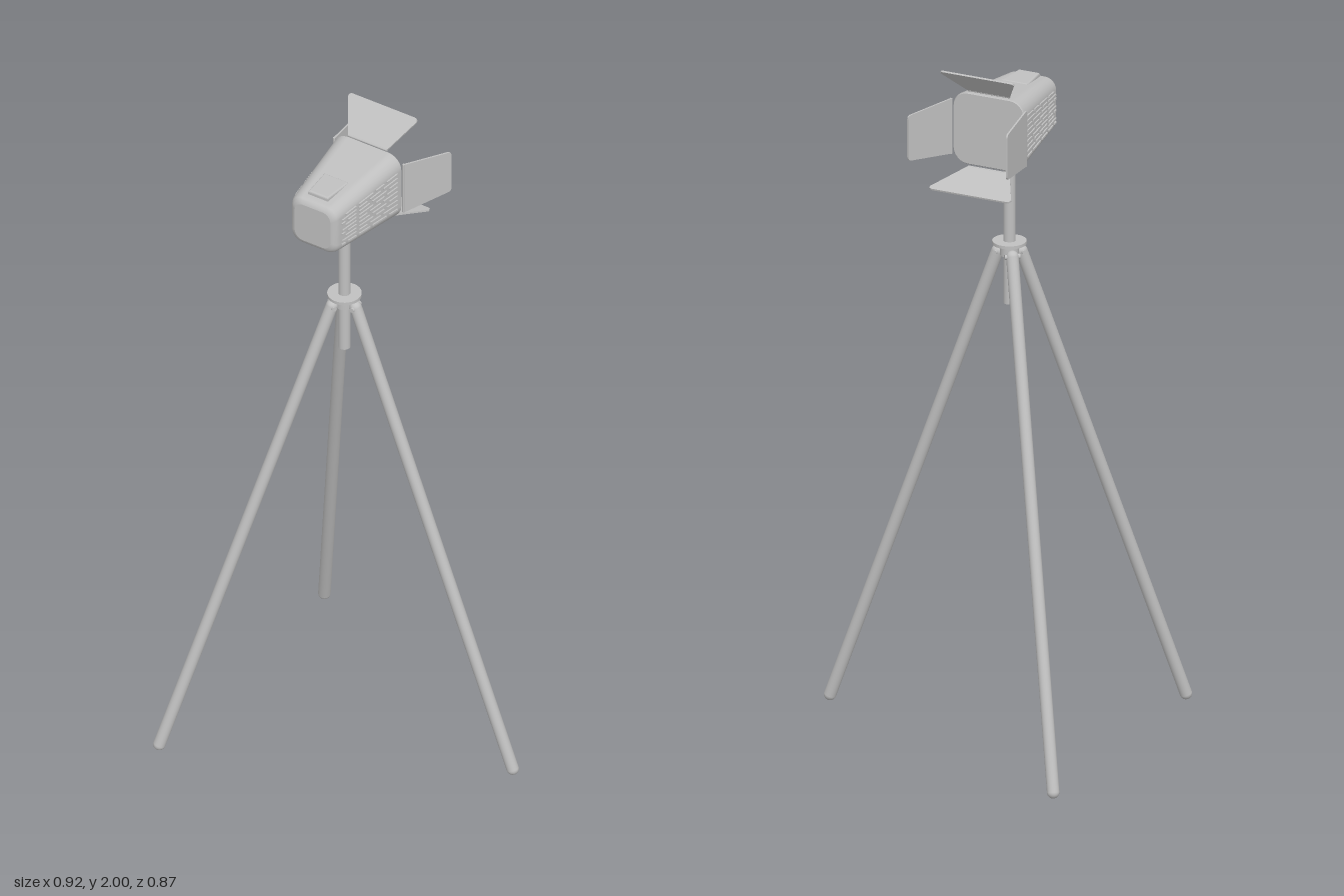
import * as THREE from 'three';

const grey = new THREE.MeshStandardMaterial({ color: 0xc0c0c0 });
const AX = -0.103;             // column axis
const CX = -0.086, CY = 1.808; // lamp housing centre
const V = (x, y, z) => new THREE.Vector3(x, y, z);

function add(parent, name, geometry) {
  const mesh = new THREE.Mesh(geometry, grey);
  mesh.name = name;
  parent.add(mesh);
  return mesh;
}

// Round bar between two points
function bar(parent, name, a, b, r, sides = 20) {
  const m = add(parent, name, new THREE.CylinderGeometry(r, r, a.distanceTo(b), sides));
  m.position.copy(a).add(b).multiplyScalar(0.5);
  m.quaternion.setFromUnitVectors(V(0, 1, 0), b.clone().sub(a).normalize());
  return m;
}

// Rounded rectangle outline, counter-clockwise
function roundedRing(cx, cy, z, hw, hh, r, steps = 6) {
  const pts = [];
  [[1, 1], [-1, 1], [-1, -1], [1, -1]].forEach(([sx, sy], q) => {
    for (let i = 0; i <= steps; i++) {
      const a = (q + i / steps) * Math.PI / 2;
      pts.push(V(cx + sx * (hw - r) + r * Math.cos(a), cy + sy * (hh - r) + r * Math.sin(a), z));
    }
  });
  return pts;
}

// Skin through rings ordered along +z, with flat ends
function loft(rings) {
  const n = rings[0].length, pos = [], idx = [];
  const put = p => pos.push(p.x, p.y, p.z);
  rings.forEach(ring => ring.forEach(put));
  for (let k = 0; k < rings.length - 1; k++) {
    for (let i = 0; i < n; i++) {
      const j = (i + 1) % n, a = k * n, b = a + n;
      idx.push(a + i, a + j, b + i, a + j, b + j, b + i);
    }
  }
  [rings[0], rings[rings.length - 1]].forEach((ring, end) => {
    const s = pos.length / 3;
    ring.forEach(put);
    for (let i = 1; i < n - 1; i++) idx.push(s, s + (end ? i : i + 1), s + (end ? i + 1 : i));
  });
  const g = new THREE.BufferGeometry();
  g.setAttribute('position', new THREE.Float32BufferAttribute(pos, 3));
  g.setIndex(idx);
  g.computeVertexNormals();
  return g;
}

// Tapered flap from hinge midpoint to tip midpoint; "across" is its width direction
function flap(parent, name, hinge, tip, across, w0, w1) {
  const L = hinge.distanceTo(tip), c = 0.012, t = 0.005;
  const s = new THREE.Shape();
  s.moveTo(-w0 / 2, 0);
  s.lineTo(w0 / 2, 0);
  s.lineTo(w1 / 2, L - c);
  s.quadraticCurveTo(w1 / 2, L, w1 / 2 - c, L);
  s.lineTo(-w1 / 2 + c, L);
  s.quadraticCurveTo(-w1 / 2, L, -w1 / 2, L - c);
  s.closePath();
  const g = new THREE.ExtrudeGeometry(s, { depth: t, bevelEnabled: false, curveSegments: 5 });
  g.translate(0, 0, -t / 2);
  const y = tip.clone().sub(hinge).normalize();
  const z = across.clone().cross(y).normalize();
  g.applyMatrix4(new THREE.Matrix4().makeBasis(across, y, z).setPosition(hinge));
  add(parent, name, g);
  // hinge rod
  const half = across.clone().multiplyScalar(w0 / 2);
  bar(parent, name + 'Hinge', hinge.clone().sub(half), hinge.clone().add(half), 0.004, 8);
}

export function createModel() {
  const model = new THREE.Group();
  model.name = 'studioLampOnTripod';

  // Tripod
  const tripod = new THREE.Group();
  tripod.name = 'tripod';
  model.add(tripod);
  bar(tripod, 'column', V(AX, 1.27, 0), V(AX, 1.74, 0), 0.017, 24);
  const collar = add(tripod, 'collar', new THREE.CylinderGeometry(0.048, 0.048, 0.009, 32));
  collar.position.set(AX, 1.451, 0);
  const hub = add(tripod, 'hub', new THREE.CylinderGeometry(0.026, 0.026, 0.034, 24));
  hub.position.set(AX, 1.43, 0);

  [[0.44, -0.021], [-0.443, 0.418], [-0.443, -0.42]].forEach(([fx, fz], i) => {
    const out = V(fx - AX, 0, fz).normalize();
    const side = V(-out.z, 0, out.x);
    const top = V(AX, 1.42, 0).addScaledVector(out, 0.036);
    const foot = V(fx, 0.018, fz);
    bar(tripod, 'leg' + (i + 1), top, foot, 0.0175);
    // rounded ends
    [[top, 'legTop'], [foot, 'foot']].forEach(([p, name]) => {
      add(tripod, name + (i + 1), new THREE.SphereGeometry(0.0175, 20, 12)).position.copy(p);
    });
    // pivot pin
    bar(tripod, 'legPin' + (i + 1), top.clone().addScaledVector(side, -0.022),
      top.clone().addScaledVector(side, 0.022), 0.007, 12);
  });

  // Lamp housing
  const lamp = new THREE.Group();
  lamp.name = 'lampHead';
  model.add(lamp);
  const taper = z => (z + 0.097) / 0.285;
  const hw = z => 0.111 - 0.035 * taper(z);
  const hh = z => 0.107 - 0.029 * taper(z);
  const ring = (z, inset) => roundedRing(CX, CY, z, hw(z) - inset, hh(z) - inset, 0.045 - 0.01 * taper(z) - inset * 0.5);
  add(lamp, 'housing', loft([
    ring(-0.097, 0.003), ring(-0.093, 0), ring(0.04, 0), ring(0.168, 0),
    ring(0.178, 0.003), ring(0.185, 0.009), ring(0.188, 0.017),
  ]));

  // Raised pad on top, wider towards the lens
  const padShape = new THREE.Shape();
  padShape.moveTo(-0.028, -0.155);
  padShape.lineTo(0.028, -0.155);
  padShape.lineTo(0.036, -0.07);
  padShape.lineTo(-0.036, -0.07);
  padShape.closePath();
  const padGeo = new THREE.ExtrudeGeometry(padShape, {
    depth: 0.015, bevelEnabled: true, bevelSize: 0.005, bevelThickness: 0.006, bevelSegments: 4,
  });
  padGeo.rotateX(-Math.PI / 2);
  add(lamp, 'topPad', padGeo).position.set(CX, 1.88, 0);

  // Staggered vent ribs on both sides
  const rows = 9;
  for (const s of [1, -1]) {
    for (let r = 0; r < rows; r++) {
      const v = -0.58 + 1.16 * r / (rows - 1);
      let z = -0.075, k = r;
      while (z < 0.155) {
        const len = Math.min([0.035, 0.06, 0.045][k++ % 3], 0.163 - z), mid = z + len / 2;
        const rib = add(lamp, 'ventRib', new THREE.BoxGeometry(0.006, 0.005, len));
        rib.position.set(CX + s * (hw(mid) + 0.001), CY + v * hh(mid), mid);
        rib.rotation.set(Math.atan(v * 0.1), Math.atan(-s * 0.123), 0);
        z += len + 0.012;
      }
    }
  }

  // Four barn doors around the lens
  const X = V(1, 0, 0), Y = V(0, 1, 0);
  flap(lamp, 'topDoor', V(CX, 1.922, -0.093), V(CX, 1.999, -0.175), X, 0.128, 0.226);
  flap(lamp, 'bottomDoor', V(CX, 1.694, -0.095), V(CX, 1.662, -0.222), X, 0.128, 0.25);
  flap(lamp, 'leftDoor', V(0.029, CY, -0.098), V(0.095, CY, -0.237), Y, 0.164, 0.136);
  flap(lamp, 'rightDoor', V(-0.2, CY, -0.098), V(-0.216, CY, -0.248), Y, 0.164, 0.136);

  return model;
}
